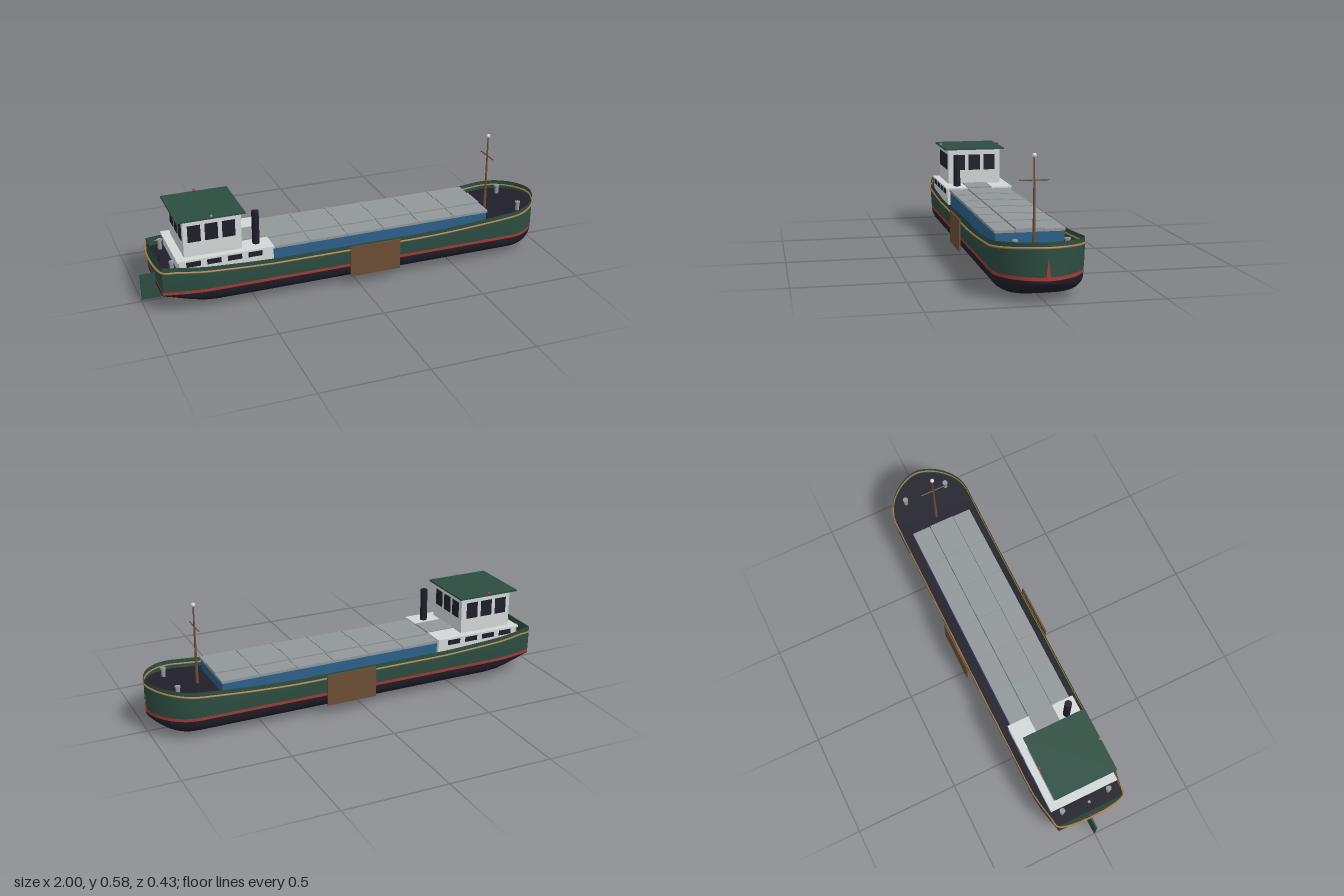
import * as THREE from 'three';
import { toCreasedNormals } from 'three/addons/utils/BufferGeometryUtils.js';

const mat = (name, color, side = THREE.FrontSide) => {
  const m = new THREE.MeshStandardMaterial({ color, side });
  m.name = name;
  return m;
};
const clamp = v => Math.min(1, Math.max(0, v));

// Hull lines: half width, sheer height and keel height along x
const halfWidth = x => x > 0.8
  ? 0.2 * Math.pow(Math.max(0, 1 - ((x - 0.8) / 0.2) ** 2), 0.6)
  : 0.2 - 0.036 * clamp((-0.72 - x) / 0.21) ** 1.5;
const sheer = x => 0.213 + 0.047 * clamp((x - 0.3) / 0.7) ** 1.6 + 0.027 * clamp((-0.4 - x) / 0.5) ** 1.3;
const keel = x => 0.02 + 0.068 * clamp((x - 0.84) / 0.16) ** 2 + 0.068 * clamp((-0.7 - x) / 0.23) ** 1.4;
const stations = [];
for (let i = 0; i < 28; i++) stations.push(-0.93 + 1.73 * i / 28);
for (let i = 0; i <= 14; i++) stations.push(0.8 + 0.2 * Math.sin(i / 14 * Math.PI / 2));

// Surface through a grid of points given by point(i, j)
function grid(nu, nv, point) {
  const pos = [], idx = [];
  for (let i = 0; i <= nu; i++) for (let j = 0; j <= nv; j++) {
    pos.push(...point(i, j));
    if (i < nu && j < nv) {
      const a = i * (nv + 1) + j, b = a + nv + 1;
      idx.push(a, b, a + 1, b, b + 1, a + 1);
    }
  }
  const g = new THREE.BufferGeometry();
  g.setAttribute('position', new THREE.Float32BufferAttribute(pos, 3));
  g.setIndex(idx);
  return toCreasedNormals(g, 0.6);
}

export function createModel() {
  const model = new THREE.Group();
  model.name = 'riverBarge';
  const D = THREE.DoubleSide;
  const green = mat('hullGreen', 0x2c4d41, D), black = mat('blueBlack', 0x1f1e2a, D);
  const red = mat('bootRed', 0xa63b33, D), brown = mat('woodBrown', 0x6b4e34);
  const gold = mat('brassGold', 0xa87f45, D), blue = mat('coamingBlue', 0x2c6089);
  const grey = mat('hatchGrey', 0x92979a), white = mat('cabinWhite', 0xd3d7d8);

  const add = (name, geo, m, x = 0, y = 0, z = 0, parent = model) => {
    const mesh = new THREE.Mesh(geo, m);
    mesh.name = name;
    mesh.position.set(x, y, z);
    parent.add(mesh);
    return mesh;
  };
  // Box given by its limits
  const box = (name, m, x0, x1, y0, y1, z0, z1) =>
    add(name, new THREE.BoxGeometry(x1 - x0, y1 - y0, z1 - z0), m, (x0 + x1) / 2, (y0 + y1) / 2, (z0 + z1) / 2);
  const cyl = (name, m, rt, rb, h, x, y, z, seg = 16) =>
    add(name, new THREE.CylinderGeometry(rt, rb, h, seg), m, x, y + h / 2, z);

  // Hull in three colour bands; an extra first station at z = 0 closes the transom
  const lower = 0.101, upper = 0.116;
  const bands = [
    ['hullBottom', black, 10, (x, t) => {
      const a = t * Math.PI / 2, k = Math.min(keel(x), lower);
      return [k + (lower - k) * (1 - Math.cos(a) ** 0.8), 0.975 * Math.sin(a) ** 0.55];
    }],
    ['bootStripe', red, 1, (x, t) => [lower + (upper - lower) * t, 0.975 + 0.005 * t]],
    ['topsides', green, 4, (x, t) => [upper + (sheer(x) - upper) * t, 0.98 + 0.02 * Math.sin(t * 2.2)]],
  ];
  for (const [name, m, n, section] of bands) for (const s of [1, -1]) {
    add(name, grid(stations.length, n, (i, j) => {
      const x = stations[Math.max(0, i - 1)];
      const [y, f] = section(x, s > 0 ? j / n : 1 - j / n);
      return [x, y, i === 0 ? 0 : s * f * halfWidth(x)];
    }), m);
  }

  // Deck set below the bulwark
  add('deck', grid(stations.length - 1, 2, (i, j) => {
    const x = stations[i];
    return [x, sheer(x) - 0.042, (1 - j) * -0.975 * halfWidth(x)];
  }).scale(1, 1, -1), black);

  // Rubbing rail around the hull
  const side = stations.map(x => new THREE.Vector3(x, sheer(x) - 0.024, halfWidth(x) + 0.001));
  const far = side.slice(0, -1).reverse().map(p => new THREE.Vector3(p.x, p.y, -p.z));
  const railPath = new THREE.CatmullRomCurve3([...side, ...far], true, 'centripetal');
  add('rubbingRail', new THREE.TubeGeometry(railPath, 240, 0.005, 6, true), gold);

  // Stem wedge
  const stem = new THREE.Shape([[-0.011, 0.105], [0.011, 0.105], [0, 0.195]].map(p => new THREE.Vector2(...p)));
  add('stemPlate', new THREE.ExtrudeGeometry(stem, { depth: 0.008, bevelEnabled: false }).rotateY(Math.PI / 2), red, 0.993);

  // Hold: coaming, hatch boards in three rows and cross battens
  box('holdCoaming', blue, -0.41, 0.685, 0.165, 0.244, -0.15, 0.15);
  const rows = [[-0.155, -0.064, 0.252], [-0.061, 0.061, 0.257], [0.064, 0.155, 0.252]];
  const panel = 1.1 / 6;
  for (let i = 0; i < 6; i++) {
    const x0 = -0.41 + i * panel;
    for (const [z0, z1, top] of rows) {
      box('hatchBoard', grey, x0 + 0.001, x0 + panel - 0.001, 0.24, top, z0, z1);
      if (i) box('hatchBatten', grey, x0 - 0.004, x0 + 0.004, top - 0.004, top + 0.004, z0, z1);
    }
  }

  // Low cabin with side windows
  box('cabin', white, -0.85, -0.41, 0.17, 0.252, -0.165, 0.165);
  box('cabinRoof', white, -0.86, -0.408, 0.252, 0.26, -0.171, 0.171);
  box('cabinHatch', grey, -0.55, -0.406, 0.255, 0.264, -0.062, 0.062);
  for (const s of [1, -1]) for (let i = 0; i < 4; i++)
    add('cabinWindow', new THREE.BoxGeometry(0.066, 0.024, 0.004), black, -0.785 + i * 0.096, 0.236, s * 0.166);

  // Wheelhouse with three windows in each wall
  box('wheelhouse', white, -0.82, -0.55, 0.26, 0.438, -0.137, 0.137);
  box('wheelhouseRoof', green, -0.85, -0.533, 0.438, 0.446, -0.156, 0.156);
  for (const s of [1, -1]) for (let i = -1; i <= 1; i++) {
    add('sideWindow', new THREE.BoxGeometry(0.06, 0.08, 0.004), black, -0.689 + i * 0.08, 0.371, s * 0.137);
    add('endWindow', new THREE.BoxGeometry(0.004, 0.08, 0.06), black, -0.685 + s * 0.135, 0.371, i * 0.08);
  }
  for (const [name, m, z] of [['portLight', red, -0.153], ['starboardLight', gold, 0.153]])
    add(name, new THREE.SphereGeometry(0.007, 16, 12), m, -0.69, 0.451, z);

  // Funnel
  cyl('funnel', black, 0.017, 0.017, 0.16, -0.475, 0.26, 0.105, 24);

  // Mast, yard and masthead light
  cyl('mastFoot', brown, 0.006, 0.008, 0.12, 0.755, 0.19, 0);
  cyl('mast', brown, 0.003, 0.0055, 0.26, 0.755, 0.31, 0);
  cyl('yard', brown, 0.003, 0.003, 0.128, 0.755, 0.408, 0, 10).rotation.x = Math.PI / 2;
  add('mastheadLight', new THREE.SphereGeometry(0.01, 20, 14), white, 0.755, 0.575, 0);

  // Bollards fore and aft
  for (const s of [1, -1]) for (const [x, z, y] of [[0.88, 0.11, 0.2], [-0.875, 0.12, 0.195]]) {
    cyl('bollard', grey, 0.01, 0.01, 0.045, x, y, s * z);
    cyl('bollardCap', grey, 0.013, 0.013, 0.007, x, y + 0.043, s * z);
  }

  // Leeboards
  for (const s of [1, -1])
    add('leeboard', new THREE.BoxGeometry(0.25, 0.152, 0.007), brown, 0.075, 0.134, s * 0.213);

  // Rudder and stern light
  box('rudder', green, -1, -0.905, 0.012, 0.14, -0.004, 0.004);
  cyl('rudderStock', black, 0.005, 0.005, 0.17, -0.905, 0.05, 0, 10);
  box('sternLight', grey, -0.906, -0.894, 0.297, 0.303, -0.006, 0.006);

  // Propeller with three pitched blades
  const propeller = new THREE.Group();
  propeller.name = 'propeller';
  propeller.position.set(-0.85, 0.03, 0);
  model.add(propeller);
  add('hub', new THREE.CylinderGeometry(0.007, 0.007, 0.025, 12).rotateZ(Math.PI / 2), gold, 0, 0, 0, propeller);
  add('shaft', new THREE.CylinderGeometry(0.004, 0.004, 0.1, 10).rotateZ(Math.PI / 2), black, 0.05, 0, 0, propeller);
  for (let i = 0; i < 3; i++) {
    const blade = new THREE.SphereGeometry(1, 12, 8).scale(0.003, 0.024, 0.012).rotateY(0.5).translate(0, 0.025, 0);
    add('blade', blade, gold, 0, 0, 0, propeller).rotation.x = i * Math.PI * 2 / 3;
  }
  return model;
}
